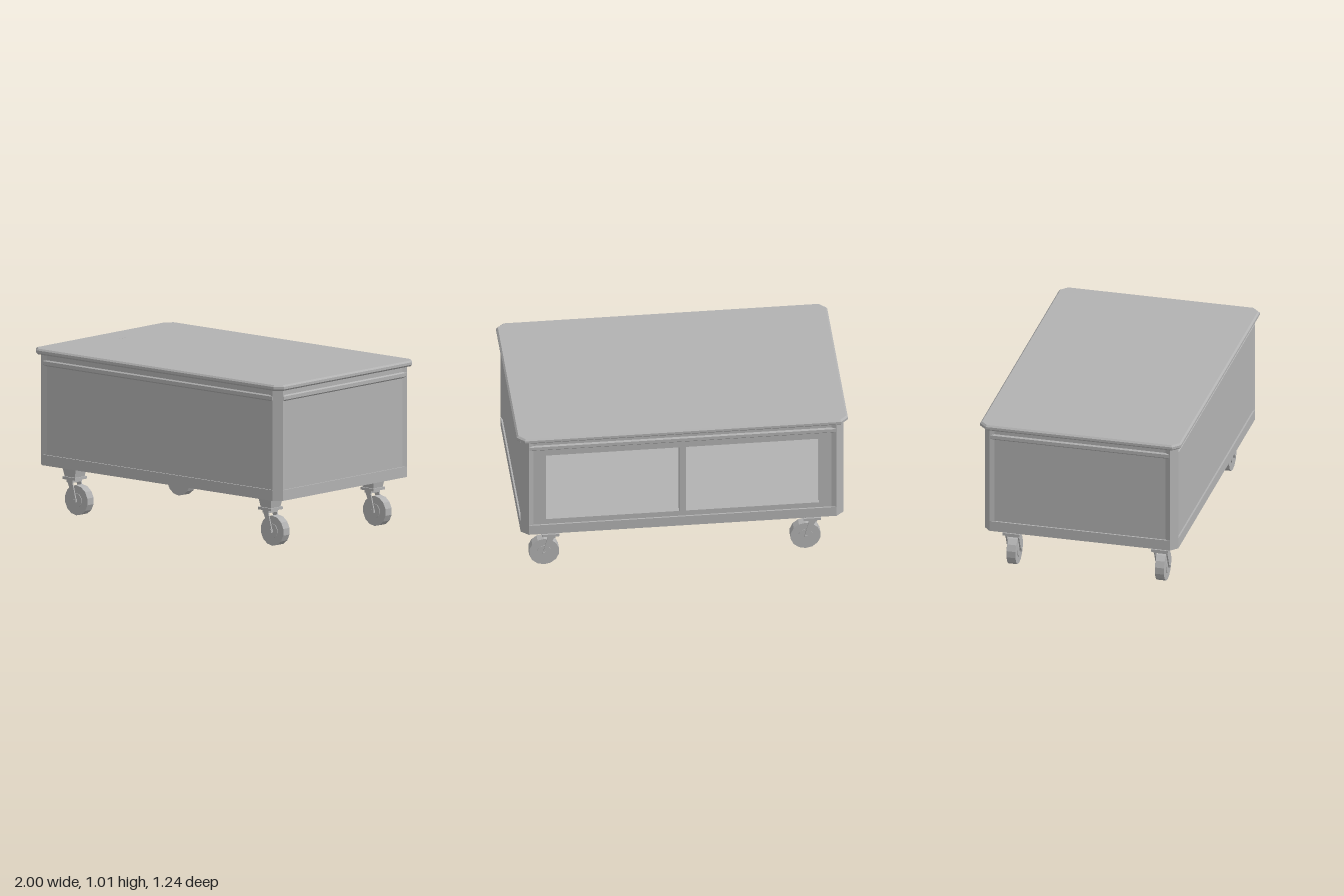
import * as THREE from 'three';

const grey = new THREE.MeshStandardMaterial({ color: 0xb2b2b2 });
grey.name = 'grey';

function part(parent, name, geometry) {
  const flat = geometry.index ? geometry.toNonIndexed() : geometry;
  flat.computeVertexNormals();
  const mesh = new THREE.Mesh(flat, grey);
  mesh.name = name;
  parent.add(mesh);
  return mesh;
}

const box = (x0, x1, y0, y1, z0, z1) =>
  new THREE.BoxGeometry(x1 - x0, y1 - y0, z1 - z0)
    .translate((x0 + x1) / 2, (y0 + y1) / 2, (z0 + z1) / 2);

const planShape = (points) => new THREE.Shape(points.map(([x, z]) => new THREE.Vector2(x, -z)));

// Vertical prism from a plan outline of [x, z] points
function prism(points, y0, y1) {
  return new THREE.ExtrudeGeometry(planShape(points), { depth: y1 - y0, bevelEnabled: false })
    .rotateX(-Math.PI / 2).translate(0, y0, 0);
}

// Rectangle with cut corners
const cutRect = (w, d, cx, cz) => [
  [w, d - cz], [w - cx, d], [cx - w, d], [-w, d - cz],
  [-w, cz - d], [cx - w, -d], [w - cx, -d], [w, cz - d],
];

// Tabletop with two round, twelve-sided recesses
function addTop(group) {
  const shape = planShape(cutRect(1, 0.622, 0.045, 0.045));
  for (const side of [-1, 1]) {
    const hole = new THREE.Path();
    for (let i = 0; i < 12; i++) {
      const a = -i * Math.PI / 6;
      const x = side * 0.465 + 0.366 * Math.cos(a), y = 0.366 * Math.sin(a);
      i ? hole.lineTo(x, y) : hole.moveTo(x, y);
    }
    hole.closePath();
    shape.holes.push(hole);
  }
  const top = new THREE.ExtrudeGeometry(shape, {
    depth: 0.015, bevelThickness: 0.01, bevelSize: 0.01, bevelOffset: -0.01, bevelSegments: 1,
  });
  part(group, 'tabletop', top.rotateX(-Math.PI / 2).translate(0, 0.985, 0));
}

// One wall facing +z: shallow recessed panel, raised upper rail, optional openings
const RECESS = 0.01;
function wall(name, half, open) {
  const g = new THREE.Group();
  g.name = name;
  const full = [[-half, 0], [-half + 0.03, -RECESS], [half - 0.03, -RECESS], [half, 0],
    [half, -0.04], [-half, -0.04]];
  if (open) {
    part(g, 'lowerPanel', prism(full, 0.36, 0.4));
    part(g, 'upperPanel', prism(full, 0.865, 0.978));
    for (const s of [-1, 1]) {
      const stile = [[half, 0], [half - 0.03, -RECESS], [0.825, -RECESS], [0.825, -0.04], [half, -0.04]];
      part(g, 'stile', prism(stile.map(([x, z]) => [s * x, z]), 0.4, 0.865));
    }
    part(g, 'centerPost', box(-0.02, 0.02, 0.4, 0.865, -0.04, -RECESS));
  } else {
    part(g, 'panel', prism(full, 0.36, 0.978));
  }
  // Rail profile runs along x with bevelled edges
  const profile = new THREE.Shape([[-0.02, 0.905], [-RECESS, 0.905], [0, 0.914], [0, 0.935],
    [-RECESS, 0.942], [-0.02, 0.942]].map(([z, y]) => new THREE.Vector2(-z, y)));
  const length = 2 * half - 0.01;
  part(g, 'upperRail', new THREE.ExtrudeGeometry(profile, { depth: length, bevelEnabled: false })
    .rotateY(Math.PI / 2).translate(-length / 2, 0, 0));
  return g;
}

function addBody(group) {
  part(group, 'base', prism(cutRect(0.975, 0.6, 0.045, 0.04), 0.3, 0.365));
  part(group, 'shelfFloor', box(-0.94, 0.94, 0.365, 0.4, -0.565, 0.565));
  part(group, 'ceiling', box(-0.94, 0.94, 0.9, 0.977, -0.565, 0.565));
  for (const x of [-1, 1]) for (const z of [-1, 1]) {
    part(group, 'cornerPost', prism([[0.93, 0.6], [0.975, 0.56], [0.93, 0.56]]
      .map(([a, b]) => [x * a, z * b]), 0.365, 0.978));
  }
  const walls = [
    ['frontWall', 0.93, false, 0, 0.6], ['leftWall', 0.56, false, 1, 0.975],
    ['backWall', 0.93, true, 2, 0.6], ['rightWall', 0.56, false, 3, 0.975],
  ];
  for (const [name, half, open, turn, dist] of walls) {
    const w = wall(name, half, open);
    const a = turn * Math.PI / 2;
    w.rotation.y = a;
    w.position.set(Math.sin(a) * dist, 0, Math.cos(a) * dist);
    group.add(w);
  }
}

// Caster with its wheel trailing toward +x
function caster() {
  const g = new THREE.Group();
  g.name = 'caster';
  const r = Math.SQRT2;
  part(g, 'leg', new THREE.CylinderGeometry(0.055 * r, 0.042 * r, 0.075, 4, 1)
    .rotateY(Math.PI / 4).translate(0, 0.267, 0));
  part(g, 'plate', box(-0.052, 0.052, 0.215, 0.231, -0.053, 0.053));
  part(g, 'forkCrown', box(-0.028, 0.022, 0.198, 0.215, -0.042, 0.042));
  const arm = new THREE.Shape([[-0.028, 0.213], [0.015, 0.213], [0.048, 0.088], [0.03, 0.088]]
    .map(([x, y]) => new THREE.Vector2(x, y)));
  for (const z of [-0.042, 0.034]) {
    part(g, 'forkArm', new THREE.ExtrudeGeometry(arm, { depth: 0.008, bevelEnabled: false })
      .translate(0, 0, z));
  }
  const disc = (radius, width, sides) => new THREE.CylinderGeometry(radius, radius, width, sides)
    .rotateX(Math.PI / 2).translate(0.038, 0.092, 0);
  part(g, 'wheel', disc(0.092, 0.056, 14));
  part(g, 'hub', disc(0.045, 0.064, 14));
  part(g, 'axle', box(0.029, 0.047, 0.082, 0.1, -0.047, 0.047));
  return g;
}

export function createModel() {
  const group = new THREE.Group();
  group.name = 'rollingTable';
  addTop(group);
  addBody(group);
  for (const x of [-0.792, 0.787]) for (const z of [-0.46, 0.46]) {
    const c = caster();
    c.position.set(x, 0, z);
    group.add(c);
  }
  return group;
}
